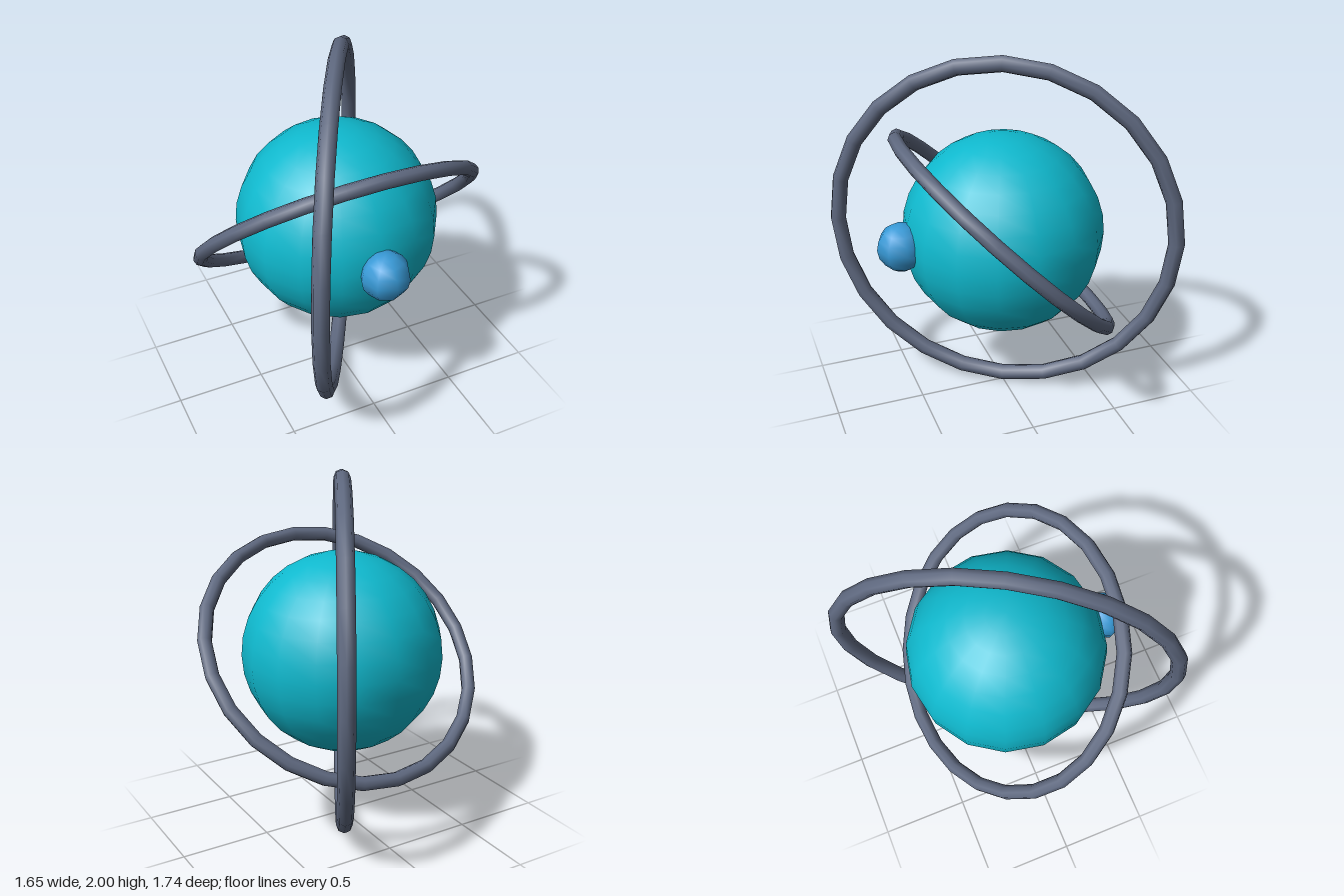
import * as THREE from 'three';

export function createModel() {
  const model = new THREE.Group();
  model.name = 'ringedOrb';

  const material = (name, color) => {
    const m = new THREE.MeshStandardMaterial({ color });
    m.name = name;
    return m;
  };
  const cyan = material('cyan', 0x0fb9ce);
  const blue = material('blue', 0x3799d6);
  const slate = material('slate', 0x5f6980);

  const add = (name, geometry, mat, z = 0) => {
    const mesh = new THREE.Mesh(geometry, mat);
    mesh.name = name;
    mesh.position.set(0, 1, z);
    model.add(mesh);
    return mesh;
  };

  // Central ball with a small eye set into its front
  add('core', new THREE.SphereGeometry(0.56, 16, 16), cyan);
  add('eye', new THREE.SphereGeometry(0.135, 8, 8), blue, 0.58);

  // Upright outer ring, turned about the vertical axis
  const outer = add('outerRing', new THREE.TorusGeometry(0.955, 0.045, 8, 24), slate);
  outer.rotation.y = Math.PI / 3;

  // Inner ring, leaning forward at the top
  const inner = add('innerRing', new THREE.TorusGeometry(0.786, 0.04, 8, 24), slate);
  inner.rotation.x = Math.PI / 4;

  return model;
}
